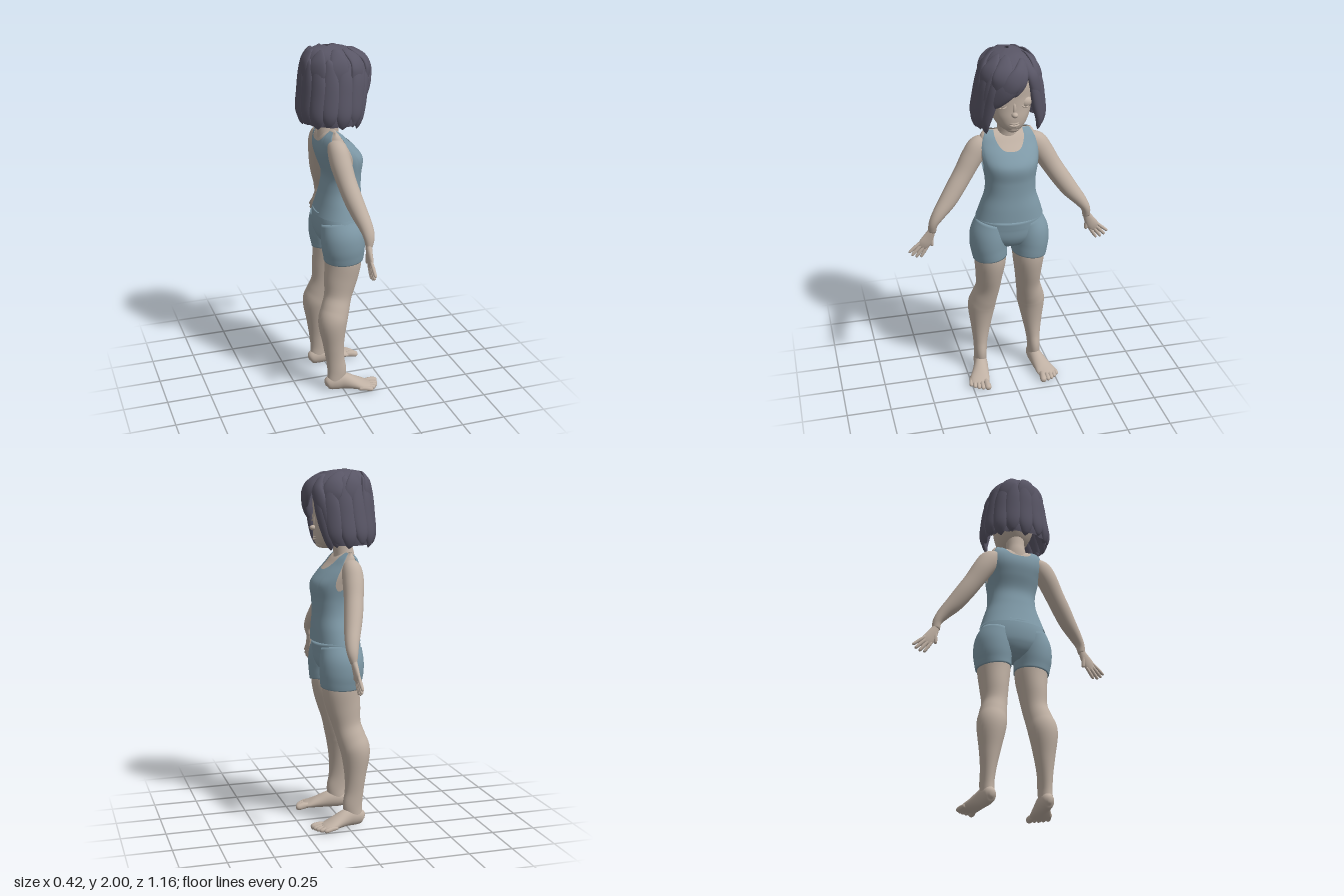
import * as THREE from 'three';

const mat = (name, color) => {
  const m = new THREE.MeshStandardMaterial({ color, side: THREE.DoubleSide });
  m.name = name;
  return m;
};
const V = (x, y, z) => new THREE.Vector3(x, y, z);
const FORWARD = V(0, 0, 1), UP = V(0, 1, 0);

// Closed-around grid surface: point(i, j) for rows 0..rows and wrapped columns.
function grid(rows, cols, point) {
  const pos = [], idx = [];
  for (let i = 0; i <= rows; i++) for (let j = 0; j < cols; j++) pos.push(...point(i, j).toArray());
  for (let i = 0; i < rows; i++) for (let j = 0; j < cols; j++) {
    const k = (j + 1) % cols, a = i * cols + j, b = i * cols + k;
    idx.push(a, a + cols, b, b, a + cols, b + cols);
  }
  const g = new THREE.BufferGeometry();
  g.setAttribute('position', new THREE.Float32BufferAttribute(pos, 3));
  g.setIndex(idx);
  g.computeVertexNormals();
  return g;
}

// Smooth interpolation of a table keyed by its first column.
function sample(table, key) {
  const n = table.length;
  let i = 0;
  while (i < n - 2 && key > table[i + 1][0]) i++;
  const a = table[i], b = table[i + 1], h = b[0] - a[0];
  const t = THREE.MathUtils.clamp((key - a[0]) / h, 0, 1);
  const slope = (k, c) => {
    const p = table[Math.max(k - 1, 0)], q = table[Math.min(k + 1, n - 1)];
    return (q[c] - p[c]) / (q[0] - p[0]);
  };
  return a.map((v, c) => c === 0 ? key
    : v * (2 * t ** 3 - 3 * t * t + 1) + b[c] * (3 * t * t - 2 * t ** 3)
      + h * slope(i, c) * (t ** 3 - 2 * t * t + t) + h * slope(i + 1, c) * (t ** 3 - t * t));
}

// Elliptical sweep through stations [x, y, z, sideRadius, refRadius].
function sweep(stations, ref = FORWARD, cols = 20, steps = 5) {
  const table = stations.map((s, i) => [i, ...s]);
  const rows = (stations.length - 1) * steps, end = stations.length - 1;
  const at = t => { const s = sample(table, t); return V(s[1], s[2], s[3]); };
  const rings = [];
  for (let i = 0; i <= rows; i++) {
    const t = i / steps, s = sample(table, t), c = at(t);
    const T = at(Math.min(t + 0.05, end)).sub(at(Math.max(t - 0.05, 0))).normalize();
    const N = (typeof ref === 'function' ? ref(c) : ref.clone());
    N.addScaledVector(T, -N.dot(T)).normalize();
    rings.push({ c, B: T.clone().cross(N), N, rb: Math.max(s[4], 0.001), rn: Math.max(s[5], 0.001) });
  }
  return grid(rows + 2, cols, (i, j) => {
    const r = rings[THREE.MathUtils.clamp(i - 1, 0, rows)], a = j / cols * Math.PI * 2;
    if (i === 0 || i === rows + 2) return r.c.clone();
    return r.c.clone().addScaledVector(r.B, Math.cos(a) * r.rb).addScaledVector(r.N, Math.sin(a) * r.rn);
  });
}

// Point on an upright form given by rows [y, halfWidth, zBack, zFront].
function formPoint(table, a, y, grow = 0) {
  const [, rx, zb, zf] = sample(table, y);
  const soft = v => Math.sign(v) * Math.abs(v) ** 0.92;
  return V(soft(Math.cos(a)) * (rx + grow), y, (zb + zf) / 2 + soft(Math.sin(a)) * ((zf - zb) / 2 + grow));
}
// Upright shell whose lower and upper edges vary with the angle.
function shell(table, bottom, top, grow = 0, ripple = () => 0) {
  const cols = 120, rows = 40;
  return grid(rows, cols, (i, j) => {
    const a = j / cols * Math.PI * 2, y = THREE.MathUtils.lerp(bottom(a), top(a), i / rows);
    return formPoint(table, a, y, grow + ripple(a, y));
  });
}
// Piecewise linear ramp through [x, y] pairs.
function ramp(pairs, x) {
  for (let i = 1; i < pairs.length; i++) if (x <= pairs[i][0]) {
    const [p, q] = [pairs[i - 1], pairs[i]];
    return THREE.MathUtils.mapLinear(Math.max(x, p[0]), p[0], q[0], p[1], q[1]);
  }
  return pairs[pairs.length - 1][1];
}

export function createModel() {
  const skin = mat('skin', 0xbfb0a3), cloth = mat('blue cloth', 0x7f9aa8), hair = mat('dark hair', 0x585565);
  const model = new THREE.Group(), figure = new THREE.Group();
  figure.name = 'figure';
  figure.rotation.y = Math.PI / 2; // figure is modelled facing +z, then turned to face +x
  model.add(figure);
  const add = (name, geo, m) => {
    const mesh = new THREE.Mesh(geo, m);
    mesh.name = name;
    figure.add(mesh);
    return mesh;
  };
  const ball = (name, x, y, z, sx, sy, sz) => {
    const b = add(name, new THREE.SphereGeometry(1, 24, 16), skin);
    b.position.set(x, y, z);
    b.scale.set(sx, sy, sz);
  };

  // Torso and tank top
  const torso = [[1.04, .19, -.115, .15], [1.12, .165, -.09, .148], [1.2, .14, -.07, .143], [1.28, .137, -.06, .145],
    [1.37, .152, -.09, .152], [1.43, .163, -.105, .11], [1.48, .163, -.1, .06], [1.52, .152, -.08, .022], [1.545, .135, -.045, -.02]];
  add('torso', shell(torso, () => 1.25, () => 1.545, -.004), skin);
  add('tankTop', shell(torso, () => 1.052, a => {
    const u = Math.abs(Math.cos(a)), scoop = Math.sin(a) > 0 ? 1.45 : 1.48;
    if (u < .55) return scoop + (1.545 - scoop) * (u / .55) ** 3;
    return ramp([[.55, 1.545], [.86, 1.545], [.93, 1.44], [1, 1.34]], u);
  }, .004), cloth);
  add('neck', sweep([[0, 1.46, -.035, .075, .06], [0, 1.52, -.033, .06, .058], [0, 1.57, -.025, .054, .055],
    [0, 1.66, -.01, .055, .06]]), skin);

  // Shorts
  add('shortsSeat', sweep([[0, 1.058, .018, .183, .13], [0, 1, .012, .2, .13], [0, .94, .014, .2, .122],
    [0, .89, .015, .14, .095], [0, .865, .015, .05, .05]], FORWARD, 48), cloth);

  for (const s of [1, -1]) {
    const side = s > 0 ? 'left' : 'right';
    const part = (name, st, ref, m = skin, cols) =>
      add(side + name, sweep(st.map(([x, ...r]) => [x * s, ...r]), ref, cols), m);

    part('ShortsLeg', [[.1, 1.02, .012, .09, .115], [.115, .95, .015, .107, .124], [.12, .89, .017, .107, .124],
      [.117, .84, .02, .102, .118], [.113, .803, .021, .098, .113]], FORWARD, cloth, 40);
    part('Leg', [[.113, .86, .018, .09, .105], [.112, .78, .018, .09, .105], [.115, .68, .003, .078, .096],
      [.12, .58, -.015, .07, .08], [.137, .5, -.038, .076, .082], [.15, .43, -.056, .08, .083], [.157, .3, -.053, .058, .062],
      [.162, .2, -.045, .042, .054], [.165, .12, -.035, .037, .056], [.165, .05, -.045, .036, .05]], FORWARD, skin, 32);
    part('Foot', [[.163, .04, -.105, .008, .01], [.163, .045, -.09, .03, .038], [.165, .052, -.05, .038, .05],
      [.17, .052, 0, .041, .05], [.185, .038, .06, .049, .037], [.2, .026, .11, .057, .025], [.206, .02, .145, .052, .017],
      [.207, .018, .162, .035, .008]], UP, skin, 32);
    // toes: [baseX, tipX, tipZ, radius]
    for (const [x0, x1, z, r] of [[.172, .168, .21, .019], [.195, .197, .203, .0135], [.213, .219, .193, .013],
      [.23, .24, .178, .0125], [.243, .258, .157, .0125]])
      part('Toe', [[x0, .022, z - .08, r * .8, r * .8], [(x0 + x1) / 2, .022, z - .05, r * .9, r], [x1, .017, z - .018, r, r],
        [x1, .014, z - .004, r * .7, r * .7], [x1, .013, z, .003, .003]], UP);

    part('Arm', [[.115, 1.485, -.035, .035, .04], [.16, 1.45, -.03, .06, .055], [.202, 1.39, -.025, .06, .058],
      [.25, 1.31, -.012, .055, .053], [.3, 1.235, .005, .053, .051], [.35, 1.165, .025, .048, .046], [.405, 1.1, .045, .036, .038],
      [.437, 1.05, .052, .026, .03], [.445, 1, .048, .022, .018]], FORWARD, skin, 28);
    part('Palm', [[.437, 1.04, .05, .02, .018], [.447, 1.005, .047, .021, .017], [.463, .97, .044, .029, .016],
      [.486, .932, .042, .034, .014], [.503, .908, .04, .028, .009], [.508, .9, .04, .012, .004]]);
    // fingers and thumb: [baseX, baseY, tipX, tipY, radius]
    for (const [x0, y0, x1, y1, r] of [[.476, .902, .513, .845, .0095], [.492, .912, .54, .848, .0105],
      [.506, .922, .563, .86, .0105], [.516, .933, .578, .88, .0095], [.452, .972, .447, .907, .0115]]) {
      const p = (t, k) => [x0 + (x1 - x0) * t, y0 + (y1 - y0) * t, .04, r * k, r * k];
      part('Finger', [p(-.15, .9), p(.4, 1), p(.85, .85), p(.96, .55), p(1, .1)]);
    }

    // Closed eyes with lid edges, and brows
    ball(side + 'Eyelid', s * .066, 1.735, .102, .036, .031, .028);
    part('LidEdge', [[.034, 1.733, .125, .002, .002], [.05, 1.718, .132, .004, .004], [.072, 1.714, .127, .004, .004],
      [.098, 1.73, .1, .002, .002]]);
    part('Brow', [[.03, 1.795, .135, .002, .002], [.06, 1.808, .122, .005, .005], [.095, 1.795, .09, .002, .002]]);
  }

  // Head
  const head = [[1.566, .012, .05, .085], [1.575, .036, .01, .112], [1.6, .07, -.05, .133], [1.65, .1, -.09, .14],
    [1.7, .115, -.11, .138], [1.76, .121, -.125, .138], [1.85, .122, -.13, .14], [1.92, .095, -.11, .105], [1.955, .02, -.03, .02]];
  add('head', shell(head, () => 1.566, () => 1.955), skin);
  ball('chin', 0, 1.59, .09, .04, .024, .04);
  ball('nose', 0, 1.678, .142, .018, .015, .022);
  ball('noseBridge', 0, 1.71, .132, .011, .035, .012);
  for (const [name, dy, r] of [['upperLip', .005, .005], ['lowerLip', -.006, .006]])
    add(name, sweep([[-.044, 1.634, .118, .001, .001], [-.02, 1.624 + dy, .134, r, r], [0, 1.621 + dy, .139, r, r],
      [.02, 1.624 + dy, .134, r, r], [.044, 1.634, .118, .001, .001]], FORWARD, 12), skin);

  // Bob hair: cap with a side-swept opening over the face
  const bob = [[1.56, .168, -.17, .14], [1.62, .182, -.183, .15], [1.68, .178, -.18, .16], [1.75, .164, -.172, .168],
    [1.83, .152, -.17, .178], [1.89, .143, -.168, .175], [1.94, .122, -.158, .142], [1.972, .09, -.135, .09],
    [1.988, .055, -.105, .045], [1.995, .012, -.05, -.02]];
  const hemEdge = [[-.84, 1.59], [-.7, 1.7], [-.6, 1.77], [0, 1.83], [.42, 1.9], [.6, 1.82], [.72, 1.7], [.84, 1.59]];
  add('hairCap', shell(bob, a => Math.sin(a) > 0 ? ramp(hemEdge, Math.cos(a)) : 1.59, () => 1.995, 0,
    (a, y) => .012 * Math.abs(Math.sin(a * 6)) * THREE.MathUtils.smoothstep(2 - y, .02, .2)), hair);

  // Locks following the cap: [startAngle, endAngle, startY, endY, halfWidth, thickness]
  const lock = (name, a0, a1, y0, y1, w, th) => {
    const st = [0, .08, .3, .55, .8, .94, 1].map((t, i) => {
      const a = THREE.MathUtils.degToRad(a0 + (a1 - a0) * t), k = [.15, .5, .85, 1, .85, .5, .08][i];
      const p = formPoint(bob, a, y0 + (y1 - y0) * t, .003);
      return [p.x, p.y, p.z, w * k, th * k];
    });
    add(name, sweep(st, c => V(c.x, 0.3 * (c.y - 1.75), c.z), 20), hair);
  };
  for (let i = 0; i < 11; i++) // sides and back
    lock('hairLock', 155 + i * 23, 155 + i * 23, i % 2 ? 1.96 : 1.94, i % 2 ? 1.575 : 1.59, .052, .026);
  for (const [a, b, y] of [[55, 36, 1.565], [48, 24, 1.58], [128, 144, 1.565], [138, 158, 1.58]]) // beside the face
    lock('sideLock', a, b, 1.93, y, .036, .022);
  lock('fringe', 62, 142, 1.965, 1.72, .05, .022);
  lock('fringe', 64, 122, 1.968, 1.78, .05, .024);
  lock('fringe', 66, 98, 1.965, 1.79, .036, .02);
  lock('fringe', 60, 34, 1.965, 1.72, .04, .022);
  // Crown tufts fanning out from the parting
  for (const a of [110, 145, 180, 220, 260, 300, 340, 15])
    lock('crownTuft', a, a + 12, 1.982, 1.8, .055, .017);

  return model;
}
